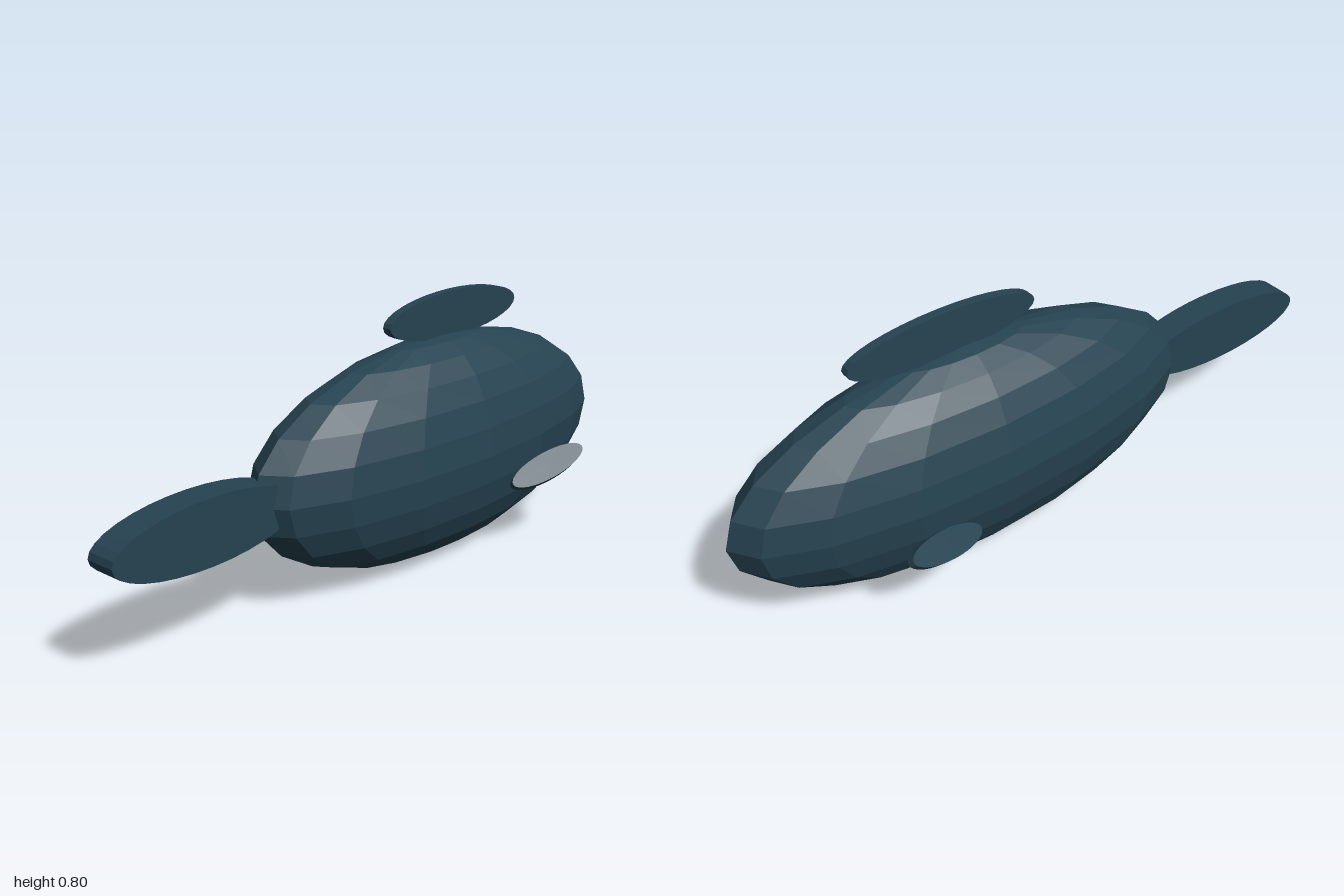
import * as THREE from 'three';

export function createModel() {
  const model = new THREE.Group();
  model.name = 'fish';
  const skin = new THREE.MeshStandardMaterial({ color: 0x264351, flatShading: true });
  skin.name = 'dark slate blue';

  const add = (name, geometry) => {
    const mesh = new THREE.Mesh(geometry, skin);
    mesh.name = name;
    model.add(mesh);
    return mesh;
  };

  // Faceted ellipsoid body
  const body = add('body', new THREE.SphereGeometry(1, 16, 12));
  body.scale.set(0.214, 0.336, 0.755);
  body.position.set(0, 0.339, -0.245);

  // Elliptical plate: long radius along `along`, thickness along `normal`
  const fin = (name, long, wide, thick, along, normal, position) => {
    const x = along.clone().normalize();
    const z = new THREE.Vector3().crossVectors(x, normal).normalize();
    const y = new THREE.Vector3().crossVectors(z, x);
    const geometry = new THREE.CylinderGeometry(1, 1, 1, 32);
    geometry.scale(long, thick, wide);
    geometry.applyMatrix4(new THREE.Matrix4().makeBasis(x, y, z));
    add(name, geometry).position.set(...position);
  };
  const v = (x, y, z) => new THREE.Vector3(x, y, z);

  // Upright tail and dorsal fin on the centre line
  fin('tailFin', 0.31, 0.093, 0.094, v(0, 0, 1), v(1, 0, 0), [0, 0.34, 0.69]);
  fin('dorsalFin', 0.295, 0.07, 0.028, v(0, 0, 1), v(1, 0, 0), [0, 0.73, -0.318]);

  // Side fins, swept back, up and outward
  for (const [name, s] of [['leftSideFin', 1], ['rightSideFin', -1]]) {
    fin(name, 0.14, 0.041, 0.022, v(s * 0.25, 0.27, -0.93), v(s * 0.66, 0.66, 0.37),
      [s * 0.245, 0.252, -0.492]);
  }
  return model;
}
